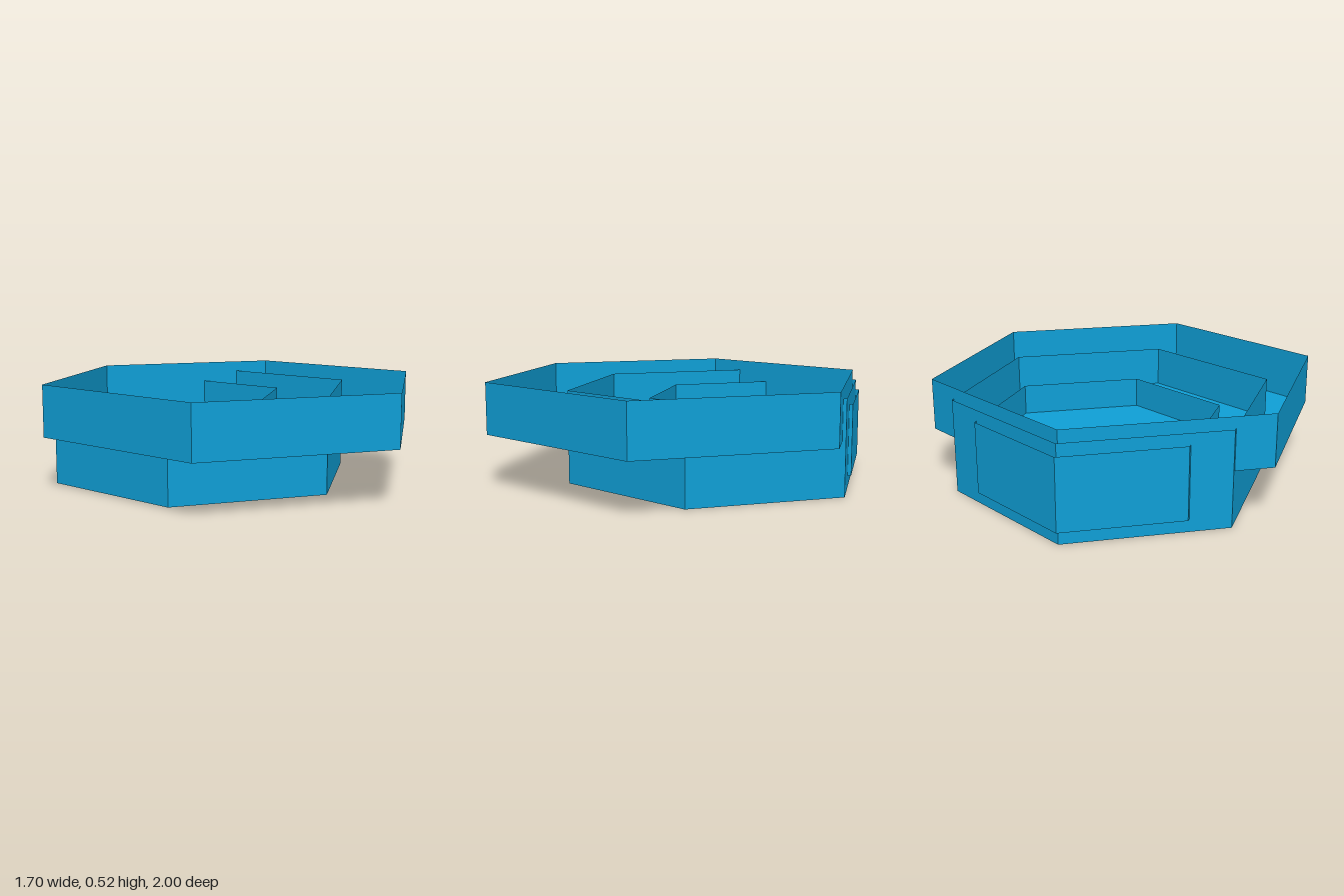
import * as THREE from 'three';

const material = new THREE.MeshStandardMaterial({
  color: 0x0f9fd6,
  flatShading: true,
  side: THREE.DoubleSide,
});

// Open-topped hexagonal tray with thin walls, one corner pointing to the front
function makeTray(name, radius, z, bottom, top) {
  const tray = new THREE.Group();
  tray.name = name;

  const wallGeometry = new THREE.CylinderGeometry(radius, radius, top - bottom, 6, 1, true);
  const wall = new THREE.Mesh(wallGeometry, material);
  wall.name = name + 'Wall';
  wall.position.y = (bottom + top) / 2;

  const floorGeometry = new THREE.CircleGeometry(radius, 6, Math.PI / 2);
  floorGeometry.rotateX(-Math.PI / 2);
  const floor = new THREE.Mesh(floorGeometry, material);
  floor.name = name + 'Floor';
  floor.position.y = bottom;

  tray.add(wall, floor);
  tray.position.z = z;
  return tray;
}

export function createModel() {
  const model = new THREE.Group();
  model.name = 'nestedHexTrays';

  // Three trays of shrinking size, stepped towards the back
  model.add(
    makeTray('outerTray', 0.98, 0.02, 0.268, 0.525),
    makeTray('middleTray', 0.79, -0.19, 0, 0.47),
    makeTray('innerTray', 0.59, -0.41, 0.063, 0.416),
  );
  return model;
}
